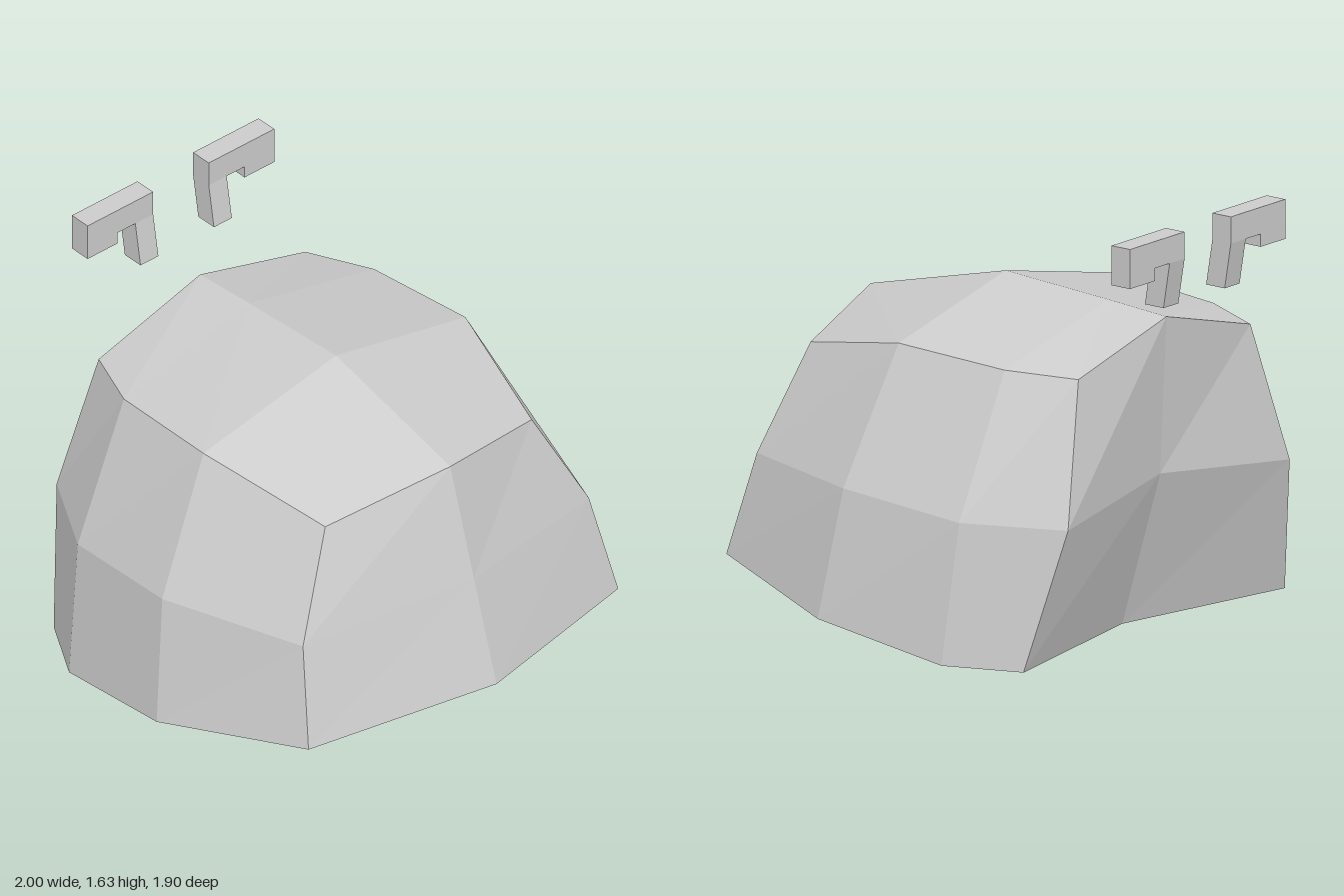
import * as THREE from 'three';

// Half outlines of the shell, from front centre round the +x side to back centre
const BOTTOM = [[0, 0.255, 0.95], [0.78, 0.22, 0.76], [1, 0.115, 0.14], [0.95, 0.015, -0.42], [0.79, 0, -0.69], [0, 0, -0.535]];
const MIDDLE = [[0, 0.68, 0.82], [0.72, 0.62, 0.66], [0.92, 0.62, 0.08], [0.88, 0.565, -0.45], [0.67, 0.55, -0.81], [0, 0.62, -0.72]];
const TOP = [[0, 1.13, 0.685], [0.52, 1.03, 0.56], [0.66, 1.145, 0.02], [0.63, 1.115, -0.47], [0.52, 1.1, -0.74], [0, 1.24, -0.75]];
const SPINE = [TOP[0], [0, 1.29, 0.03], [0, 1.26, -0.47], TOP[5]];

const mirror = ([x, y, z]) => [-x, y, z];
const fullRing = (half) => [...half, ...half.slice(1, 5).reverse().map(mirror)];

function shellGeometry() {
  const positions = [];
  const tri = (...corners) => corners.forEach((p) => positions.push(...p));
  const quad = (a, b, c, d) => { tri(a, b, c); tri(a, c, d); };
  const rings = [BOTTOM, MIDDLE, TOP].map(fullRing);
  const n = rings[0].length;

  // Walls
  for (let r = 0; r < 2; r++) {
    for (let i = 0; i < n; i++) {
      const j = (i + 1) % n;
      quad(rings[r][i], rings[r][j], rings[r + 1][j], rings[r + 1][i]);
    }
  }
  // Crown, two mirrored rows of panels beside the spine
  for (let k = 0; k < 3; k++) {
    const a = TOP[k + 1], b = TOP[k + 2];
    quad(SPINE[k], a, b, SPINE[k + 1]);
    quad(SPINE[k + 1], mirror(b), mirror(a), SPINE[k]);
  }
  // Underside, fanned from the back centre
  for (let k = 1; k < n - 1; k++) {
    tri(BOTTOM[5], rings[0][(5 + k + 1) % n], rings[0][(5 + k) % n]);
  }
  const geometry = new THREE.BufferGeometry();
  geometry.setAttribute('position', new THREE.Float32BufferAttribute(positions, 3));
  geometry.computeVertexNormals();
  return geometry;
}

function createHook(side, material) {
  const hook = new THREE.Group();
  hook.name = side > 0 ? 'leftHook' : 'rightHook';
  const addBlock = (name, x0, x1, y0, y1, lean = 0) => {
    const geometry = new THREE.BoxGeometry(x1 - x0, y1 - y0, 0.09);
    geometry.translate(side * (x0 + x1) / 2, (y0 + y1) / 2, -0.905);
    // Lean the lower end forward
    const p = geometry.attributes.position;
    for (let i = 0; i < p.count; i++) {
      if (p.getY(i) < (y0 + y1) / 2) p.setZ(i, p.getZ(i) + lean);
    }
    geometry.computeVertexNormals();
    const mesh = new THREE.Mesh(geometry, material);
    mesh.name = name;
    hook.add(mesh);
  };
  addBlock('hookBar', 0.14, 0.47, 1.53, 1.635);
  addBlock('hookTip', 0.32, 0.47, 1.48, 1.53);
  addBlock('hookLeg', 0.14, 0.23, 1.35, 1.53, 0.03);
  return hook;
}

export function createModel() {
  const group = new THREE.Group();
  const material = new THREE.MeshStandardMaterial({ color: 0xcccccc, flatShading: true });
  const shell = new THREE.Mesh(shellGeometry(), material);
  shell.name = 'shell';
  group.add(shell, createHook(1, material), createHook(-1, material));
  return group;
}
